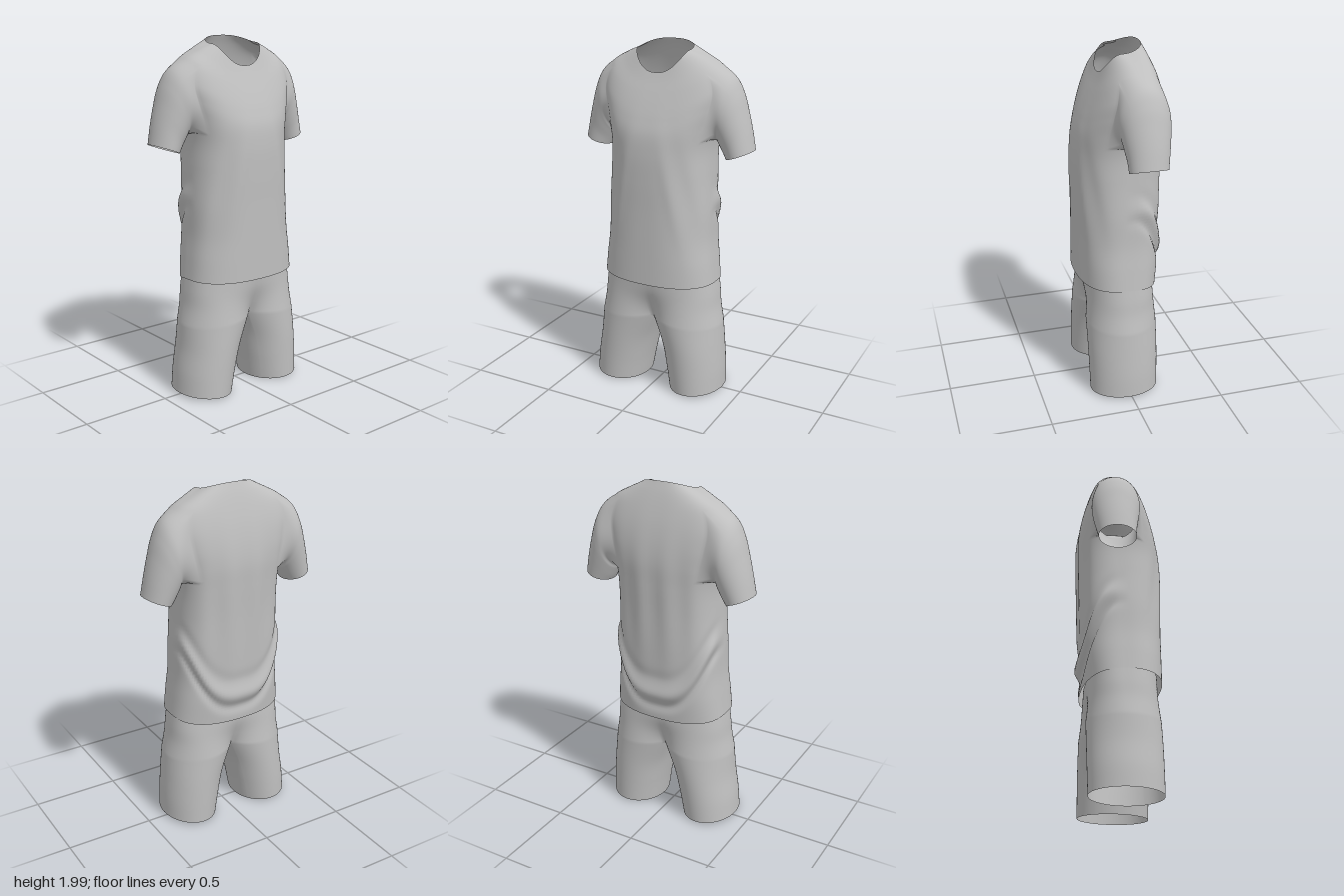
import * as THREE from 'three';
import { mergeVertices } from 'three/addons/utils/BufferGeometryUtils.js';

const N = 96; // points round each ring
const Q = N / 4;
const bump = (d, width) => Math.exp(-((d / width) ** 2));
const spow = (v, p) => Math.sign(v) * Math.abs(v) ** p;

// Closed ring round the body: half width, side/front/back heights, front/back/mid depth
function bodyRing([w, yS, yF, yB, zF, zB, zM]) {
  return Array.from({ length: N }, (_, i) => {
    const a = (i / N) * Math.PI * 2, s = Math.sin(a);
    const x = w * spow(Math.cos(a), 0.82);
    const z = s > 0 ? zM + s ** 0.84 * (zF - zM) : zM - (-s) ** 0.68 * (zM - zB);
    const y = s > 0 ? yS + (yF - yS) * s * s : yS + (yB - yS) * (-s) ** 1.15;
    return new THREE.Vector3(x, y, z);
  });
}

// Closed ring through an outer and an inner point, round a sleeve or leg
function limbRing([ox, oy, ix, iy, zF, zB], angles) {
  return angles.map((a) => {
    const t = (1 - Math.cos(a)) / 2;
    const z = (zF + zB) / 2 + (Math.sin(a) * (zF - zB)) / 2;
    return new THREE.Vector3(ox + (ix - ox) * t, oy + (iy - oy) * t, z);
  });
}

// Rows of points running smoothly through the rings
function skin(rings, rows) {
  const columns = rings[0].map((_, i) =>
    new THREE.CatmullRomCurve3(rings.map((r) => r[i]), false, 'centripetal'));
  return Array.from({ length: rows + 1 }, (_, j) => columns.map((c) => c.getPoint(j / rows)));
}

// Join several grids of points into one smooth cloth surface
function sew(parts) {
  const pos = [], index = [];
  for (const { grid, flip, open } of parts) {
    const base = pos.length / 3, n = grid[0].length;
    grid.flat().forEach((v) => pos.push(v.x, v.y, v.z));
    for (let j = 0; j < grid.length - 1; j++) {
      for (let i = 0; i < n; i++) {
        if (open && open(i, j)) continue;
        const a = base + j * n + i, b = base + j * n + ((i + 1) % n);
        if (flip) index.push(a, b, a + n, b, b + n, a + n);
        else index.push(a, a + n, b, b, a + n, b + n);
      }
    }
  }
  let g = new THREE.BufferGeometry();
  g.setAttribute('position', new THREE.Float32BufferAttribute(pos, 3));
  g.setIndex(index);
  g = mergeVertices(g, 1e-5);
  g.computeVertexNormals();
  return g;
}

// Draped folds of the shirt
function shirtFolds(v) {
  const { x, y, z } = v;
  const ax = Math.abs(x);
  if (z < 0.02) {
    const k = Math.min(1, (0.02 - z) / 0.12);
    // swag hanging low on the back and climbing steeply up both sides
    const d = y - (0.81 + 12 * ax ** 3);
    const out = k * (0.014 * bump(d, 0.045) - 0.014 * bump(d + 0.075, 0.035) - 0.006 * bump(d - 0.1, 0.04));
    v.x += out * (x / 0.45);
    v.z -= out;
    // soft vertical creases, with a shallow hollow along the spine
    v.z += k * 0.005 * Math.cos(x * 40) * bump(y - 1.35, 0.32);
  } else if (z > 0.04) {
    const k = Math.min(1, (z - 0.04) / 0.1);
    // creases spreading from the chest to the hips
    const d = ax - (0.09 + (1.5 - y) * 0.2);
    v.z += k * (0.005 * bump(d, 0.03) - 0.01 * bump(d - 0.075, 0.04)) * bump(y - 1.2, 0.28);
  }
}

function shirtGeometry() {
  // Body, from hem to collar
  const body = skin([
    [0.338, 0.68, 0.675, 0.65, 0.24, -0.205, 0.02],
    [0.326, 0.79, 0.79, 0.79, 0.24, -0.218, 0.02],
    [0.312, 0.92, 0.92, 0.92, 0.24, -0.22, 0.01],
    [0.307, 1.1, 1.1, 1.1, 0.24, -0.225, 0],
    [0.295, 1.3, 1.27, 1.3, 0.242, -0.23, -0.01],
    [0.294, 1.45, 1.42, 1.46, 0.24, -0.236, -0.03],
    [0.315, 1.57, 1.53, 1.58, 0.228, -0.238, -0.04],
    [0.345, 1.68, 1.61, 1.68, 0.203, -0.228, -0.05],
    [0.36, 1.78, 1.68, 1.78, 0.175, -0.208, -0.055],
    [0.325, 1.873, 1.745, 1.87, 0.146, -0.182, -0.05],
    [0.235, 1.928, 1.8, 1.945, 0.12, -0.155, -0.035],
    [0.153, 1.962, 1.845, 2.0, 0.1, -0.13, -0.005],
  ].map(bodyRing), 110);
  body.flat().forEach(shirtFolds);

  // Armholes: a window of columns (front to back) and rows in the body grid
  const kF = 8, kB = 11, low = 54, high = 92, mid = (low + high) / 2;
  const inWindow = (i, j) => {
    const u = i < Q ? i : i >= 3 * Q ? i - N : N / 2 - 1 - i;
    // the mirrored side shares the same columns counted from the opposite point
    return j >= low && j < high && u >= -kB && u < kF;
  };
  const loop = [];
  for (let u = 0; u < kF; u++) loop.push([u, high]);
  for (let j = high; j > low; j--) loop.push([kF, j]);
  for (let u = kF; u > -kB; u--) loop.push([u, low]);
  for (let j = low; j < high; j++) loop.push([-kB, j]);
  for (let u = -kB; u < 0; u++) loop.push([u, high]);
  const angles = loop.map(([u, j]) => Math.atan2(u / (u > 0 ? kF : kB), (j - mid) / (high - mid)));

  // Sleeves, from the armhole down to the cuff
  const parts = [{ grid: body, open: inWindow }];
  for (const side of [1, -1]) {
    const armhole = loop.map(([u, j]) => body[j][side > 0 ? (u + N) % N : N / 2 - u]);
    const rings = [
      [0.39, 1.828, 0.315, 1.475, 0.08, -0.196],
      [0.432, 1.75, 0.323, 1.457, 0.07, -0.194],
      [0.463, 1.65, 0.334, 1.435, 0.06, -0.186],
      [0.489, 1.55, 0.347, 1.41, 0.05, -0.176],
      [0.512, 1.44, 0.362, 1.385, 0.045, -0.165],
    ].map(([ox, oy, ix, ...rest]) => limbRing([ox * side, oy, ix * side, ...rest], angles));
    parts.push({ grid: skin([armhole, ...rings], 40), flip: side > 0 });
  }
  return sew(parts);
}

function shortsGeometry() {
  // Most of each leg hangs from half the seat; the inner strip hangs from the crotch seam
  const isInner = (i) => i > Q && i < 3 * Q;
  const angles = Array.from({ length: N }, (_, i) => {
    if (isInner(i)) return Math.PI * (0.8 + (0.4 * (i - Q)) / (2 * Q));
    return ((i <= Q ? i : i - N) / N) * Math.PI * 2 * 1.6;
  });

  // Two-lobed ring where the legs meet, its lobes touching at x = 0
  const meet = 0.372, tMeet = (1 - Math.cos(Math.PI * 0.8)) / 2;
  const lobe = limbRing([meet, 0.42, (-meet * (1 - tMeet)) / tMeet, 0.45, 0.212, -0.19], angles);
  lobe[Q].x = lobe[3 * Q].x = 0;
  const lobes = lobe.map((p, i) => {
    if (!isInner(i)) return p;
    const m = lobe[(N + N / 2 - i) % N];
    return new THREE.Vector3(-m.x, m.y, m.z);
  });

  // Seat, open at the waist and easing into the two lobes
  const waist = bodyRing([0.328, 0.71, 0.7, 0.7, 0.212, -0.18, 0.01]);
  const seat = skin([
    lobes,
    ...[[0.52, 0.352, 0.6], [0.61, 0.342, 0.2]].map(([y, w, t]) =>
      bodyRing([w, y, y, y, 0.213, -0.186, 0.01]).map((p, i) =>
        p.lerp(new THREE.Vector3(lobes[i].x * (w / meet), y, lobes[i].z), t))),
    waist,
  ], 28);
  const parts = [{ grid: seat }];

  const front = lobes[Q], back = lobes[3 * Q];
  for (const [side, hemOut, hemIn] of [[1, 0.392, 0.075], [-1, 0.412, 0.095]]) {
    const top = lobes.map((p, i) => {
      if (!isInner(i)) return new THREE.Vector3(p.x * side, p.y, p.z);
      const t = (i - Q) / (2 * Q);
      return new THREE.Vector3(0, front.y - 0.07 * Math.sin(Math.PI * t) ** 0.8,
        front.z + (back.z - front.z) * t);
    });
    const rings = [
      [hemOut, 0.025, hemIn, 0.008, 0.208, -0.184],
      [0.388 + (hemOut - 0.388) * 0.6, 0.14, hemIn * 0.72, 0.14, 0.21, -0.187],
      [0.382, 0.28, hemIn * 0.34, 0.28, 0.212, -0.189],
    ].map(([ox, oy, ix, ...rest]) => limbRing([ox * side, oy, ix * side, ...rest], angles));
    parts.push({ grid: skin([...rings, top], 40), flip: side < 0 });
  }
  return sew(parts);
}

export function createModel() {
  const model = new THREE.Group();
  model.name = 'sportsOutfit';
  const cloth = new THREE.MeshStandardMaterial({ color: 0xbfbfbf, side: THREE.DoubleSide });
  cloth.name = 'grey cloth';
  for (const [name, geometry] of [['shirt', shirtGeometry()], ['shorts', shortsGeometry()]]) {
    const mesh = new THREE.Mesh(geometry, cloth);
    mesh.name = name;
    model.add(mesh);
  }
  return model;
}
